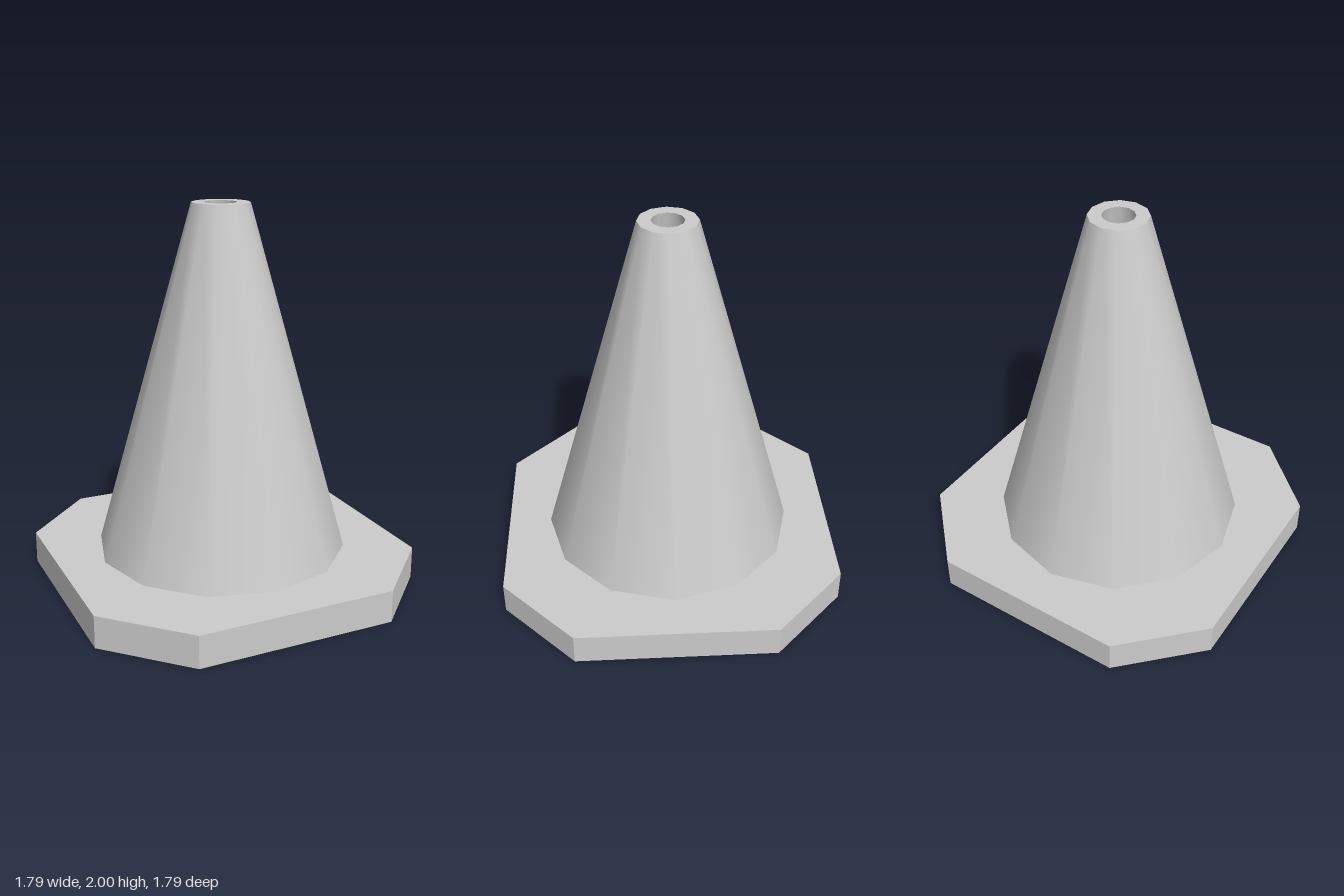
import * as THREE from 'three';

const SIDES = 12, BASE_H = 0.17, HALF = 0.895, CORNER = 0.52;
const OUTER_R = 0.665, INNER_R = 0.44, TOP_R = 0.15, BORE_R = 0.082;

const material = new THREE.MeshStandardMaterial({ color: 0xcccccc });

function addMesh(group, name, geometry) {
  const mesh = new THREE.Mesh(geometry, material);
  mesh.name = name;
  group.add(mesh);
  return mesh;
}

// Twelve-sided band between two [radius, height] points
function band(a, b) {
  return new THREE.LatheGeometry([new THREE.Vector2(...a), new THREE.Vector2(...b)], SIDES);
}

// Square outline with cut corners
function outline() {
  const h = HALF, c = CORNER;
  return [[h, -c], [h, c], [c, h], [-c, h], [-h, c], [-h, -c], [-c, -h], [c, -h]]
    .map(([x, y]) => new THREE.Vector2(x, y));
}

// Flat slab face with a twelve-sided opening
function slabFace(holeRadius) {
  const shape = new THREE.Shape(outline());
  const hole = [];
  for (let i = 0; i < SIDES; i++) {
    const a = -i / SIDES * Math.PI * 2;
    hole.push(new THREE.Vector2(Math.cos(a), Math.sin(a)).multiplyScalar(holeRadius));
  }
  shape.holes.push(new THREE.Path(hole));
  return new THREE.ShapeGeometry(shape);
}

// Upright walls around the slab, one flat quad per side
function slabWalls() {
  const pts = outline(), pos = [];
  pts.forEach((p, i) => {
    const q = pts[(i + 1) % pts.length];
    const a = [p.x, 0, -p.y], b = [q.x, 0, -q.y];
    const c = [q.x, BASE_H, -q.y], d = [p.x, BASE_H, -p.y];
    pos.push(...a, ...b, ...c, ...a, ...c, ...d);
  });
  const geometry = new THREE.BufferGeometry();
  geometry.setAttribute('position', new THREE.Float32BufferAttribute(pos, 3));
  geometry.computeVertexNormals();
  return geometry;
}

export function createModel() {
  const model = new THREE.Group();
  model.name = 'trafficCone';

  // Base slab
  const base = new THREE.Group();
  base.name = 'base';
  addMesh(base, 'baseWalls', slabWalls());
  addMesh(base, 'baseTop', slabFace(OUTER_R).rotateX(-Math.PI / 2).translate(0, BASE_H, 0));
  addMesh(base, 'baseUnderside', slabFace(INNER_R).rotateX(Math.PI / 2));
  model.add(base);

  // Hollow tapered body, open at both ends
  const body = new THREE.Group();
  body.name = 'coneBody';
  addMesh(body, 'outerWall', band([OUTER_R, BASE_H], [TOP_R, 2]));
  addMesh(body, 'topRim', band([TOP_R, 2], [BORE_R, 2]));
  addMesh(body, 'innerWall', band([BORE_R, 2], [INNER_R, 0]));
  model.add(body);

  return model;
}
